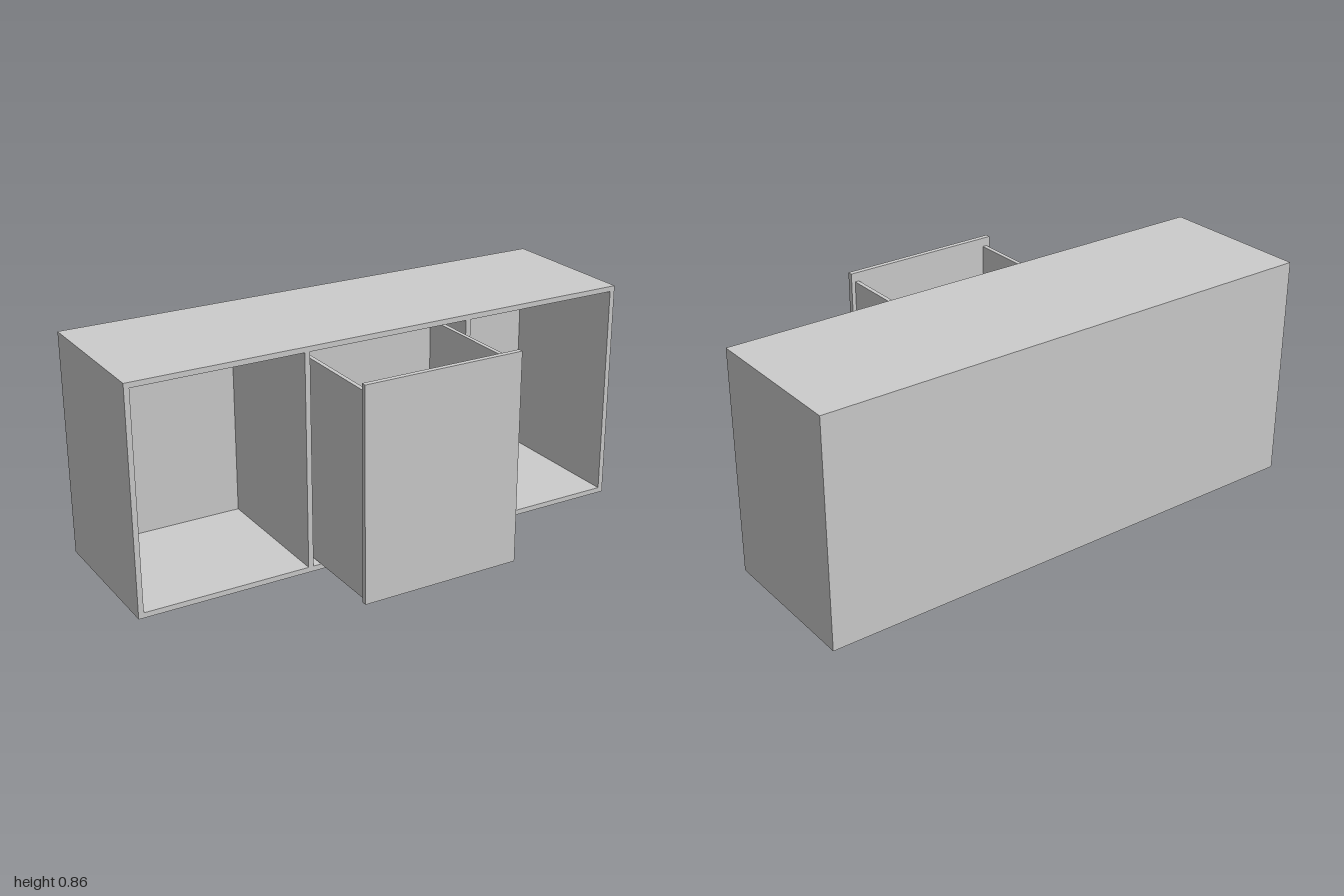
import * as THREE from 'three';

const material = new THREE.MeshStandardMaterial({ color: 0xcccccc });

// Box given by its low and high limits on each axis
function panel(parent, name, [x0, x1], [y0, y1], [z0, z1]) {
  const mesh = new THREE.Mesh(new THREE.BoxGeometry(x1 - x0, y1 - y0, z1 - z0), material);
  mesh.position.set((x0 + x1) / 2, (y0 + y1) / 2, (z0 + z1) / 2);
  mesh.name = name;
  parent.add(mesh);
}

// Mirrored pair of upright panels between distances a and b from the centre
function panelPair(parent, name, a, b, y, z) {
  panel(parent, name + 'Left', [a, b], y, z);
  panel(parent, name + 'Right', [-b, -a], y, z);
}

export function createModel() {
  const model = new THREE.Group();
  model.name = 'cabinetWithDrawer';

  // Open-fronted carcass with three bays
  const cabinet = new THREE.Group();
  cabinet.name = 'cabinet';
  const t = 0.02, height = 0.86, back = -0.47, front = 0.117;
  const inner = [t, height - t];
  panel(cabinet, 'bottomPanel', [-1, 1], [0, t], [back, front]);
  panel(cabinet, 'topPanel', [-1, 1], [height - t, height], [back, front]);
  panelPair(cabinet, 'side', 1 - t, 1, inner, [back, front]);
  panel(cabinet, 'backPanel', [-1 + t, 1 - t], inner, [back, back + t]);
  panelPair(cabinet, 'divider', 0.32, 0.34, inner, [back + t, front]);
  model.add(cabinet);

  // Tall middle drawer, pulled out
  const drawer = new THREE.Group();
  drawer.name = 'drawer';
  const w = 0.298, s = 0.016, z0 = -0.075, z1 = 0.45, y0 = 0.03, y1 = 0.8;
  panel(drawer, 'drawerFront', [-0.313, 0.313], [0.028, 0.834], [z1, 0.47]);
  panelPair(drawer, 'drawerSide', w - s, w, [y0, y1], [z0, z1]);
  panel(drawer, 'drawerBack', [-w + s, w - s], [y0, y1], [z0, z0 + s]);
  panel(drawer, 'drawerBottom', [-w + s, w - s], [y0, y0 + s], [z0 + s, z1]);
  model.add(drawer);

  return model;
}
